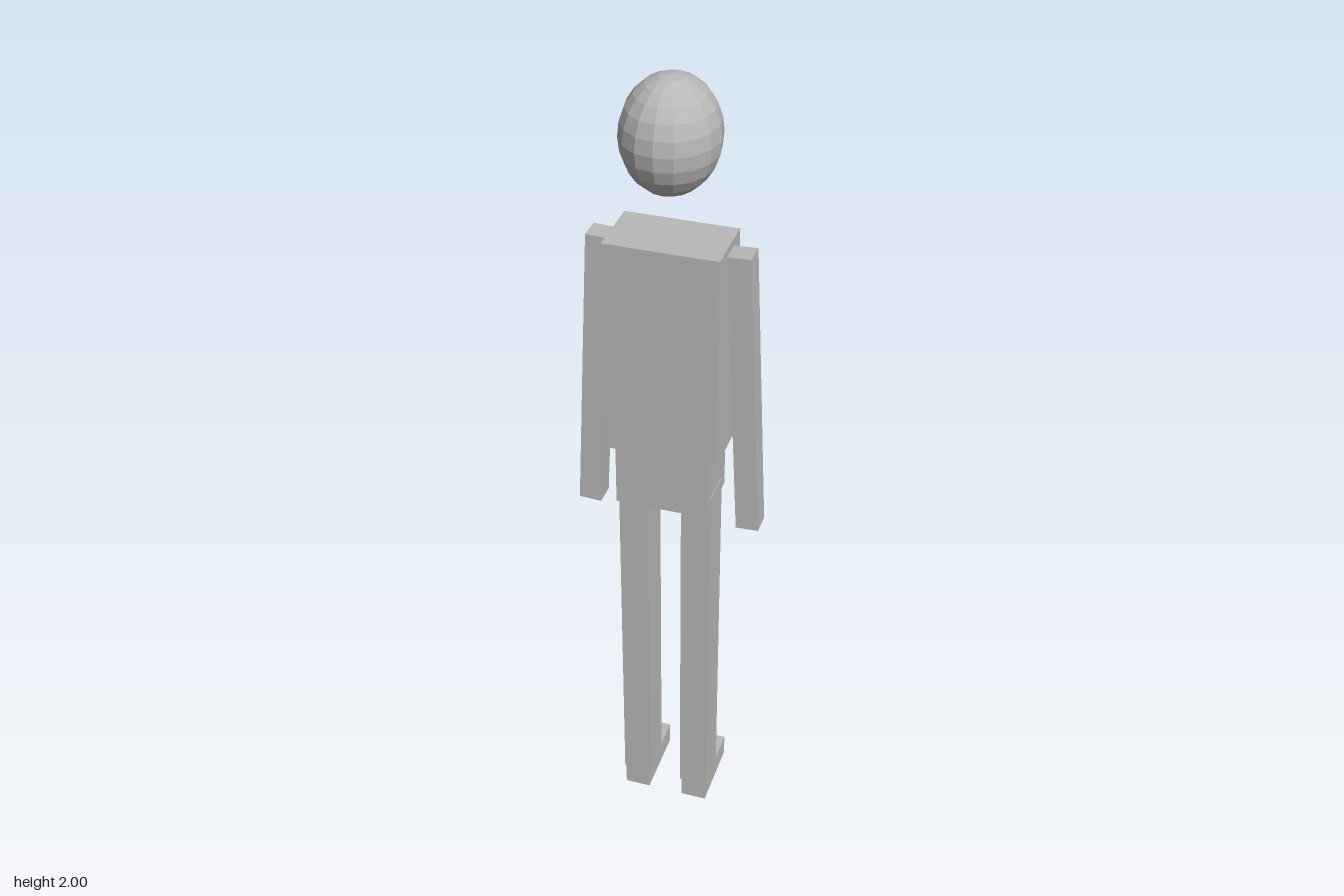
import * as THREE from 'three';

export function createModel() {
  const model = new THREE.Group();
  model.name = 'blockFigure';

  const grey = new THREE.MeshStandardMaterial({ color: 0xb8b8b8 });
  grey.name = 'plainGrey';
  grey.flatShading = true;

  // Box given by its extents along each axis
  function addBox(name, [x0, x1], [y0, y1], [z0, z1]) {
    const mesh = new THREE.Mesh(new THREE.BoxGeometry(x1 - x0, y1 - y0, z1 - z0), grey);
    mesh.position.set((x0 + x1) / 2, (y0 + y1) / 2, (z0 + z1) / 2);
    mesh.name = name;
    model.add(mesh);
    return mesh;
  }

  // Faceted head floating above the shoulders
  const head = new THREE.Mesh(new THREE.SphereGeometry(1, 16, 12), grey);
  head.name = 'head';
  head.scale.set(0.109, 0.13, 0.12);
  head.position.set(0, 1.87, 0.004);
  model.add(head);

  // Trunk
  addBox('torso', [-0.131, 0.131], [1.108, 1.635], [-0.072, 0.081]);
  addBox('hips', [-0.11, 0.11], [0.957, 1.13], [-0.066, 0.078]);

  // Limbs, mirrored left and right
  for (const [side, s] of [['left', 1], ['right', -1]]) {
    const span = (a, b) => (s > 0 ? [a, b] : [-b, -a]);

    // Arm leaning outwards towards the hand
    const arm = addBox(side + 'Arm', span(0.149, 0.203), [0.909, 1.621], [-0.024, 0.03]);
    arm.rotation.z = s * 0.05;

    addBox(side + 'Leg', span(0.04, 0.112), [0.055, 0.994], [-0.036, 0.054]);

    // Foot reaching towards -z from the heel
    addBox(side + 'Foot', span(0.045, 0.109), [0, 0.057], [-0.127, 0.053]);
  }

  return model;
}
